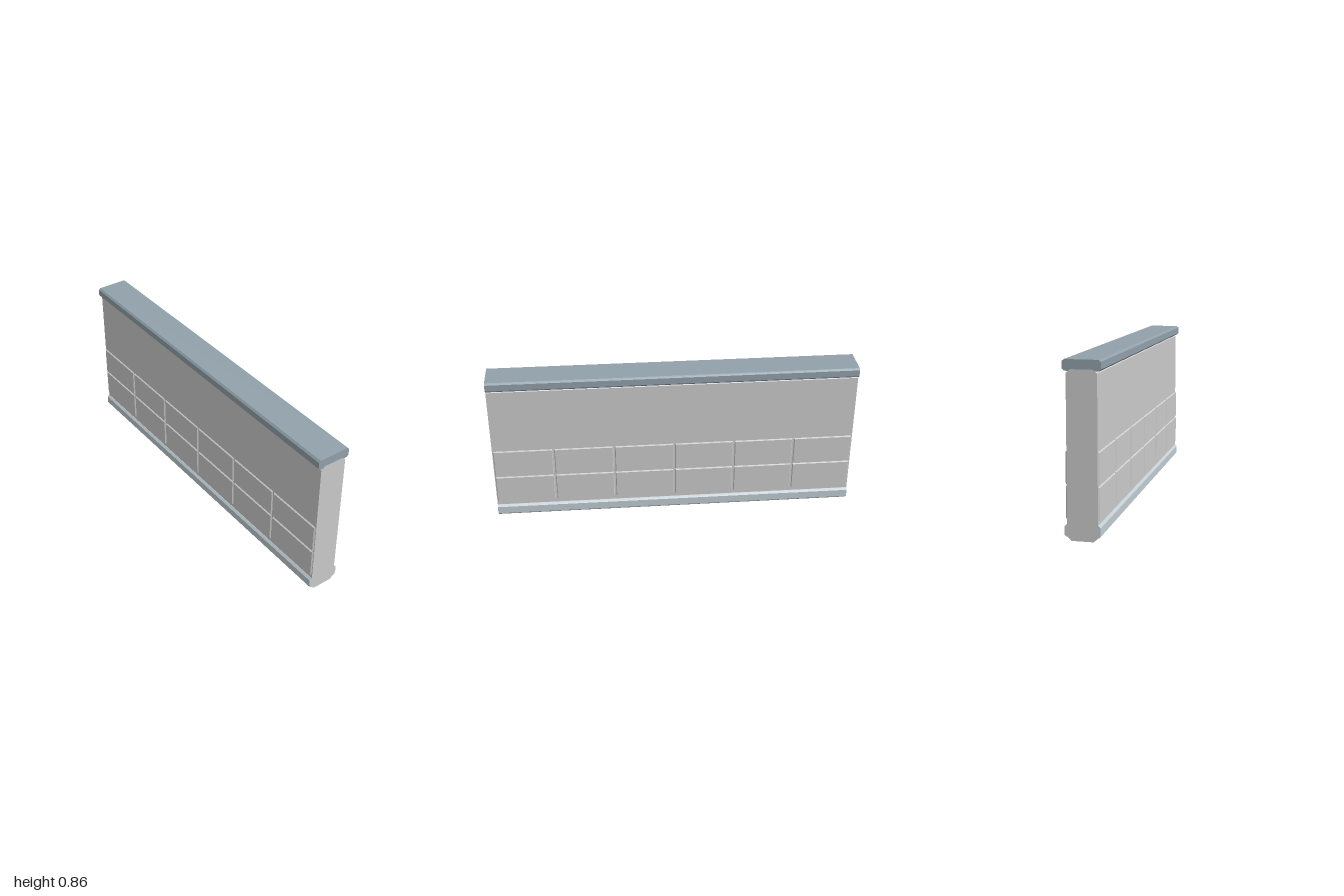
import * as THREE from 'three';

const LENGTH = 2;
const WALL_Z = 0.075;

const concrete = new THREE.MeshStandardMaterial({ color: 0xcccccc, flatShading: true });
const capPaint = new THREE.MeshStandardMaterial({ color: 0x92a1ab, flatShading: true });
const trimPaint = new THREE.MeshStandardMaterial({ color: 0xc2ced4, flatShading: true });

// Sweeps a [z, y] cross-section along the whole length of the wall
function sweep(name, points, material) {
  const shape = new THREE.Shape(points.map(([z, y]) => new THREE.Vector2(-z, y)));
  const geometry = new THREE.ExtrudeGeometry(shape, { depth: LENGTH, bevelEnabled: false });
  geometry.rotateY(Math.PI / 2).translate(-LENGTH / 2, 0, 0);
  const mesh = new THREE.Mesh(geometry, material);
  mesh.name = name;
  return mesh;
}

// Completes a half profile by mirroring it in z
const mirrored = (half) => [...half, ...half.map(([z, y]) => [-z, y]).reverse()];

// Shallow tile with its outer face drawn in to form a chamfer
function tileGeometry(width, height, depth, chamfer) {
  const geometry = new THREE.BoxGeometry(width, height, depth);
  geometry.translate(0, 0, depth / 2);
  const p = geometry.attributes.position;
  for (let i = 0; i < p.count; i++) {
    if (p.getZ(i) < depth / 2) continue;
    p.setX(i, p.getX(i) - Math.sign(p.getX(i)) * chamfer);
    p.setY(i, p.getY(i) - Math.sign(p.getY(i)) * chamfer);
  }
  geometry.computeVertexNormals();
  return geometry;
}

export function createModel() {
  const wall = new THREE.Group();
  wall.name = 'wallSection';

  // Wall core, chamfered at top and foot
  wall.add(sweep('wallBody', mirrored([
    [0.055, 0], [WALL_Z, 0.02], [WALL_Z, 0.797], [0.055, 0.815],
  ]), concrete));

  // Coping that sits over the top of the core
  wall.add(sweep('topCap', mirrored([
    [0.055, 0.815], [0.064, 0.807], [0.083, 0.807], [0.093, 0.817],
    [0.093, 0.852], [0.083, 0.861],
  ]), capPaint));

  // Skirting and tiles on both faces
  const columns = 6;
  const pitch = LENGTH / columns;
  const tile = tileGeometry(pitch - 0.009, 0.161, 0.007, 0.004);
  for (const side of [1, -1]) {
    const face = new THREE.Group();
    face.name = side > 0 ? 'frontFace' : 'backFace';
    face.rotation.y = side > 0 ? 0 : Math.PI;

    face.add(sweep('baseTrim', [
      [WALL_Z, 0.02], [0.08, 0.02], [0.088, 0.028],
      [0.088, 0.07], [0.077, 0.081], [WALL_Z, 0.081],
    ], trimPaint));

    for (const y of [0.184, 0.351]) {
      for (let c = 0; c < columns; c++) {
        const mesh = new THREE.Mesh(tile, concrete);
        mesh.name = 'wallTile';
        mesh.position.set((c + 0.5) * pitch - LENGTH / 2, y, WALL_Z);
        face.add(mesh);
      }
    }
    wall.add(face);
  }
  return wall;
}
